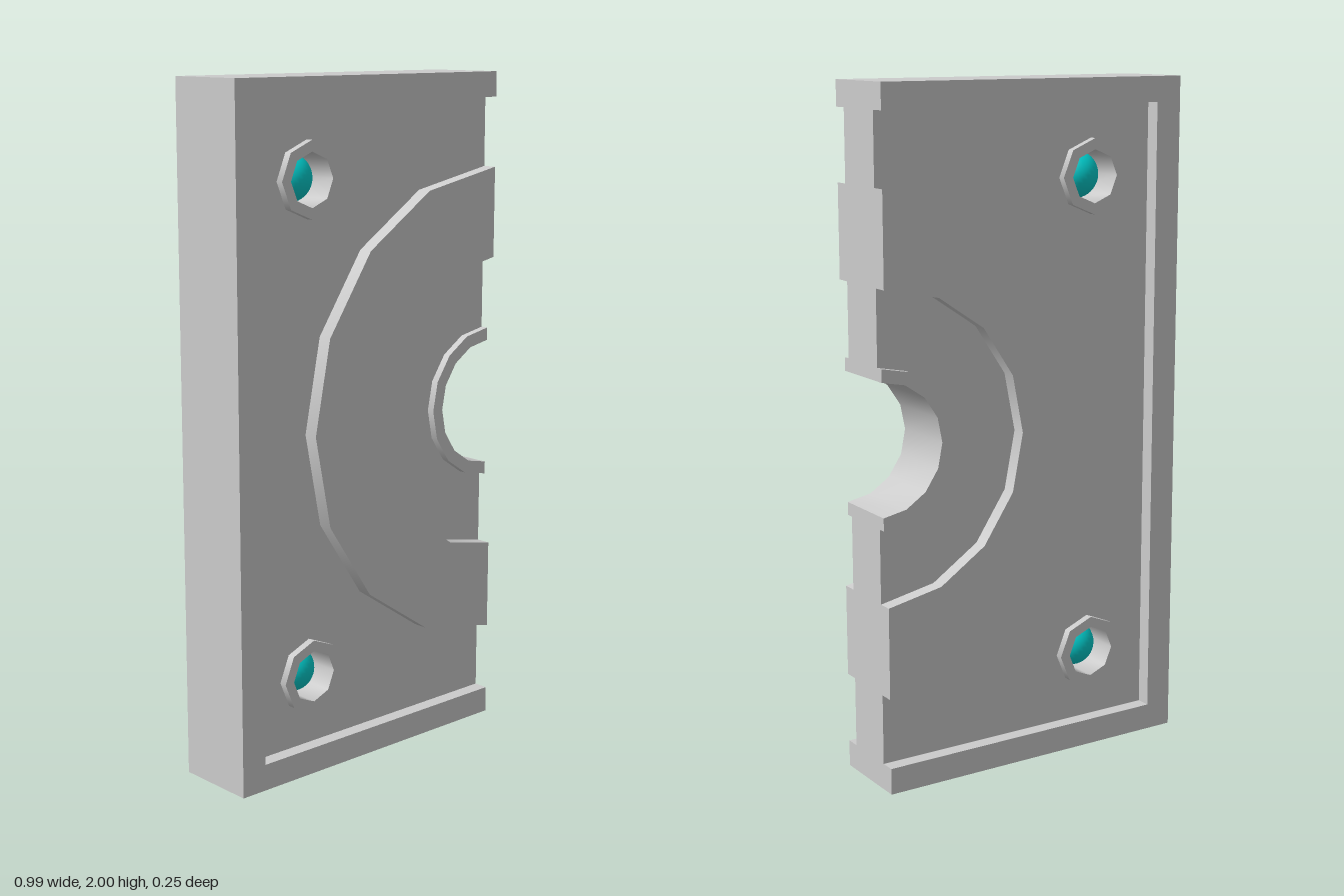
import * as THREE from 'three';
import { toCreasedNormals } from 'three/addons/utils/BufferGeometryUtils.js';

const EDGE = 0.497;                    // half width; the open side lies at +x
const CY = 1.003;                      // height of the arc centre
const R = { outer: 0.717, inner: 0.447, hub: 0.229, bore: 0.191 };
const HIGH = 0.126, MID = 0.105, LOW = 0.082;   // half thickness of each level
const BOLTS = [[-0.211, 1.72], [-0.211, 0.287]];
const BOSS_R = 0.109, HOLE_R = 0.077;

const grey = new THREE.MeshStandardMaterial({ color: 0xcccccc });
const teal = new THREE.MeshStandardMaterial({ color: 0x00cccc });

// Half of a 16-sided ring outline, from top round the -x side to bottom
function arc(r) {
  return Array.from({ length: 9 }, (_, i) => {
    const a = Math.PI * (0.5 + i / 8);
    return new THREE.Vector2(EDGE + r * Math.cos(a), CY + r * Math.sin(a));
  });
}

function octagon([x, y], r) {
  return Array.from({ length: 8 }, (_, i) => {
    const a = i * Math.PI / 4;
    return new THREE.Vector2(x + r * Math.cos(a), y + r * Math.sin(a));
  });
}

function halfRing(r1, r2) {
  return new THREE.Shape([...arc(r1), ...arc(r2).reverse()]);
}

export function createModel() {
  const model = new THREE.Group();

  // Extrude a region equally to the front and the back
  function slab(name, shape, half) {
    const geo = new THREE.ExtrudeGeometry(shape, { depth: 2 * half, bevelEnabled: false });
    geo.translate(0, 0, -half);
    const mesh = new THREE.Mesh(toCreasedNormals(geo, 0.9), grey);
    mesh.name = name;
    model.add(mesh);
  }

  // Raised rim on three sides
  const left = -0.415, low = 0.078, top = 1.926;
  const v = (x, y) => new THREE.Vector2(x, y);
  slab('rim', new THREE.Shape([
    v(-EDGE, 0), v(EDGE, 0), v(EDGE, low), v(left, low),
    v(left, top), v(EDGE, top), v(EDGE, 2), v(-EDGE, 2),
  ]), HIGH);

  // Sunken panel between rim and ring, pierced for the bosses
  const panel = new THREE.Shape([
    v(EDGE, top), v(left, top), v(left, low), v(EDGE, low), ...arc(R.outer).reverse(),
  ]);
  for (const b of BOLTS) panel.holes.push(new THREE.Path(octagon(b, BOSS_R)));
  slab('panel', panel, LOW);

  // Concentric half rings round the bore
  slab('raisedRing', halfRing(R.outer, R.inner), HIGH);
  slab('groove', halfRing(R.inner, R.hub), LOW);
  slab('hub', halfRing(R.hub, R.bore), MID);

  // Octagonal bosses, each holding a ball inside its through hole
  for (const b of BOLTS) {
    const boss = new THREE.Shape(octagon(b, BOSS_R));
    boss.holes.push(new THREE.Path(octagon(b, HOLE_R)));
    slab('boss', boss, MID);
    const ball = new THREE.Mesh(new THREE.SphereGeometry(0.07, 32, 20), teal);
    ball.position.set(b[0], b[1], 0);
    ball.name = 'ball';
    model.add(ball);
  }
  return model;
}
